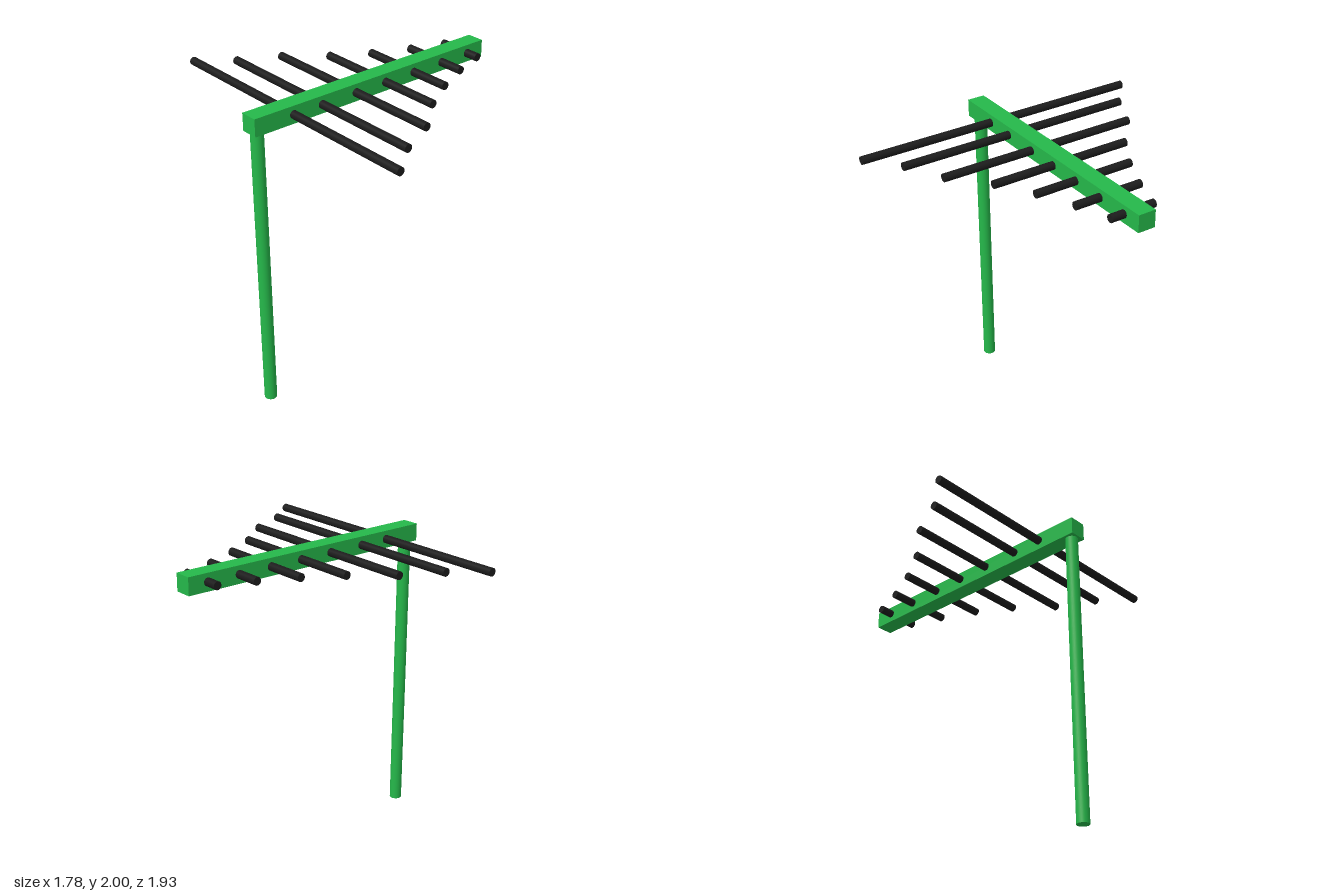
import * as THREE from 'three';

export function createModel() {
  const group = new THREE.Group();
  const green = new THREE.MeshStandardMaterial({ color: 0x25b84a });
  const black = new THREE.MeshStandardMaterial({ color: 0x1c1c1c });

  const add = (name, geometry, material, x, y, z) => {
    const mesh = new THREE.Mesh(geometry, material);
    mesh.name = name;
    mesh.position.set(x, y, z);
    group.add(mesh);
    return mesh;
  };

  // Upright pole, reaching into the boom
  add('mast', new THREE.CylinderGeometry(0.04, 0.04, 1.9, 32), green, -0.84, 0.95, 0);

  // Horizontal square bar
  add('boom', new THREE.BoxGeometry(1.784, 0.112, 0.115), green, 0, 1.944, 0);

  // Cross rods, shortening towards the tip: [x, half length]
  const rods = [
    [-0.62, 0.964], [-0.412, 0.796], [-0.158, 0.67], [0.073, 0.475],
    [0.302, 0.337], [0.537, 0.23], [0.759, 0.153],
  ];
  rods.forEach(([x, half], i) => {
    const geometry = new THREE.CylinderGeometry(0.026, 0.026, half * 2, 32).rotateX(Math.PI / 2);
    add(`crossRod${i + 1}`, geometry, black, x, 1.947, 0);
  });

  return group;
}
